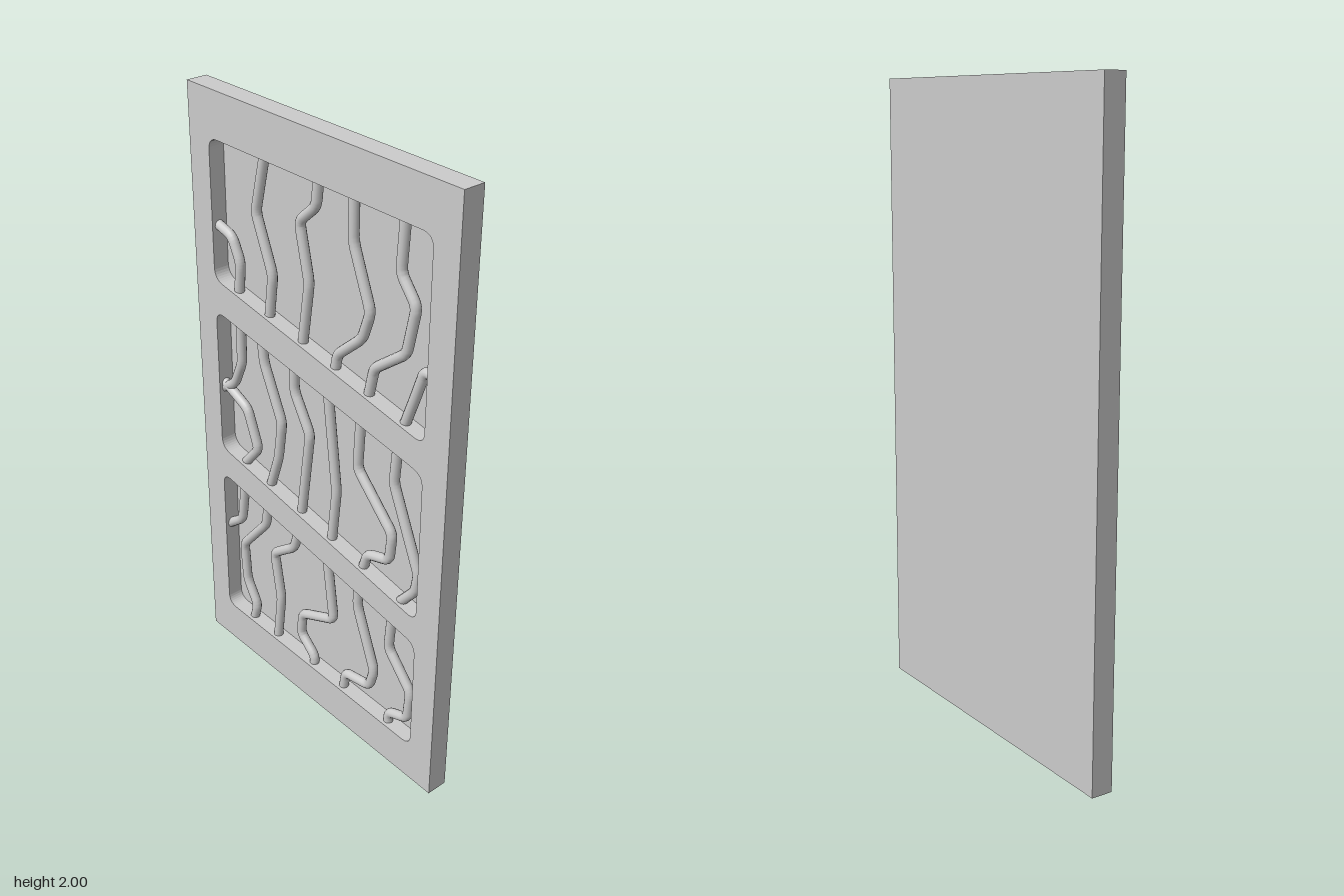
import * as THREE from 'three';

const H = 2, HALF_X = 0.035, HALF_Z = 0.555, FLOOR_X = 0.018;
const OPEN_Z = 0.462, CORNER = 0.04, ROD_R = 0.016, ROD_X = -0.009;

// openings: edge heights at the -z side (a) and the +z side (b);
// rods: centre lines as z, y pairs, ends sunk into the frame
const upper = {
  a: [1.406, 1.855], b: [1.245, 1.855],
  rods: [
    [-0.48, 1.58, -0.40, 1.56, -0.363, 1.486, -0.375, 1.37],
    [-0.23, 1.88, -0.281, 1.675, -0.209, 1.5, -0.23, 1.34],
    [0, 1.88, -0.013, 1.774, -0.085, 1.71, -0.044, 1.534, -0.076, 1.32],
    [0.141, 1.88, 0.141, 1.722, 0.213, 1.54, 0.182, 1.448, 0.079, 1.357, 0.067, 1.29],
    [0.338, 1.88, 0.326, 1.698, 0.388, 1.622, 0.357, 1.472, 0.233, 1.377, 0.21, 1.27],
    [0.5, 1.443, 0.429, 1.451, 0.398, 1.36, 0.355, 1.24],
  ],
};
const middle = {
  a: [0.798, 1.297], b: [0.635, 1.146],
  rods: [
    [-0.373, 1.31, -0.373, 1.141, -0.414, 1.05, -0.49, 1.0],
    [-0.48, 1.04, -0.352, 0.984, -0.301, 0.855, -0.38, 0.76],
    [-0.272, 1.29, -0.26, 1.189, -0.178, 1.01, -0.198, 0.874, -0.243, 0.74],
    [-0.116, 1.26, -0.116, 1.153, -0.044, 1.03, -0.088, 0.71],
    [0.036, 1.24, 0.079, 0.885, 0.058, 0.69],
    [0.183, 1.21, 0.172, 1.018, 0.326, 0.863, 0.316, 0.763, 0.223, 0.733, 0.2, 0.66],
    [0.338, 1.19, 0.326, 1.044, 0.439, 0.781, 0.429, 0.714, 0.36, 0.63],
  ],
};
const lower = {
  a: [0.144, 0.694], b: [0.137, 0.544],
  rods: [
    [-0.375, 0.70, -0.4, 0.53, -0.49, 0.46],
    [-0.256, 0.68, -0.27, 0.577, -0.394, 0.43, -0.383, 0.284, -0.332, 0.2, -0.355, 0.115],
    [-0.1, 0.65, -0.126, 0.562, -0.229, 0.484, -0.198, 0.311, -0.221, 0.115],
    [0.035, 0.63, 0.069, 0.384, -0.085, 0.313, -0.095, 0.226, -0.024, 0.165, -0.03, 0.115],
    [0.182, 0.60, 0.182, 0.509, 0.264, 0.297, 0.244, 0.221, 0.131, 0.199, 0.118, 0.11],
    [0.338, 0.58, 0.326, 0.435, 0.429, 0.319, 0.419, 0.206, 0.336, 0.173, 0.336, 0.11],
  ],
};

// closed outline with rounded corners
function roundedPath(points, r) {
  const path = new THREE.Path();
  points.forEach((p, i) => {
    const prev = points[(i + points.length - 1) % points.length];
    const next = points[(i + 1) % points.length];
    const from = p.clone().add(prev.clone().sub(p).setLength(r));
    const to = p.clone().add(next.clone().sub(p).setLength(r));
    if (i === 0) path.moveTo(from.x, from.y);
    else path.lineTo(from.x, from.y);
    path.quadraticCurveTo(p.x, p.y, to.x, to.y);
  });
  path.closePath();
  return path;
}

// straight rod segments joined by short bends
function rodGeometry(flat) {
  const pts = [];
  for (let i = 0; i < flat.length; i += 2) pts.push(new THREE.Vector3(ROD_X, flat[i + 1], flat[i]));
  const samples = [pts[0]];
  for (let i = 1; i < pts.length - 1; i++) {
    const p = pts[i];
    const trim = (q) => p.clone().add(q.clone().sub(p).setLength(Math.min(0.022, p.distanceTo(q) * 0.45)));
    samples.push(...new THREE.QuadraticBezierCurve3(trim(pts[i - 1]), p, trim(pts[i + 1])).getPoints(5));
  }
  samples.push(pts[pts.length - 1]);
  const curve = new THREE.CurvePath();
  for (let i = 1; i < samples.length; i++) curve.add(new THREE.LineCurve3(samples[i - 1], samples[i]));
  return new THREE.TubeGeometry(curve, 120, ROD_R, 12, false);
}

export function createModel() {
  const model = new THREE.Group();
  model.name = 'panel';
  const material = new THREE.MeshStandardMaterial({ color: 0xcccccc });
  const add = (name, geometry, parent = model) => {
    const mesh = new THREE.Mesh(geometry, material);
    mesh.name = name;
    parent.add(mesh);
    return mesh;
  };

  // solid sheet closing the +x side
  const sheet = new THREE.BoxGeometry(HALF_X - FLOOR_X, H, HALF_Z * 2);
  sheet.translate((HALF_X + FLOOR_X) / 2, H / 2, 0);
  add('backSheet', sheet);

  // frame with three openings split by sloping bars
  const outline = new THREE.Shape();
  outline.moveTo(-HALF_Z, 0).lineTo(HALF_Z, 0).lineTo(HALF_Z, H).lineTo(-HALF_Z, H).closePath();
  const sections = { upper, middle, lower };
  for (const { a, b } of Object.values(sections)) {
    outline.holes.push(roundedPath([
      new THREE.Vector2(-OPEN_Z, a[0]), new THREE.Vector2(-OPEN_Z, a[1]),
      new THREE.Vector2(OPEN_Z, b[1]), new THREE.Vector2(OPEN_Z, b[0]),
    ], CORNER));
  }
  const frame = new THREE.ExtrudeGeometry(outline, {
    depth: FLOOR_X + HALF_X, bevelEnabled: false, curveSegments: 8,
  });
  frame.rotateY(-Math.PI / 2).translate(FLOOR_X, 0, 0);
  add('frame', frame);

  // bent rods standing in each opening
  for (const [name, { rods }] of Object.entries(sections)) {
    const group = new THREE.Group();
    group.name = name + 'Rods';
    rods.forEach((rod, i) => add(`${name}Rod${i + 1}`, rodGeometry(rod), group));
    model.add(group);
  }
  return model;
}
